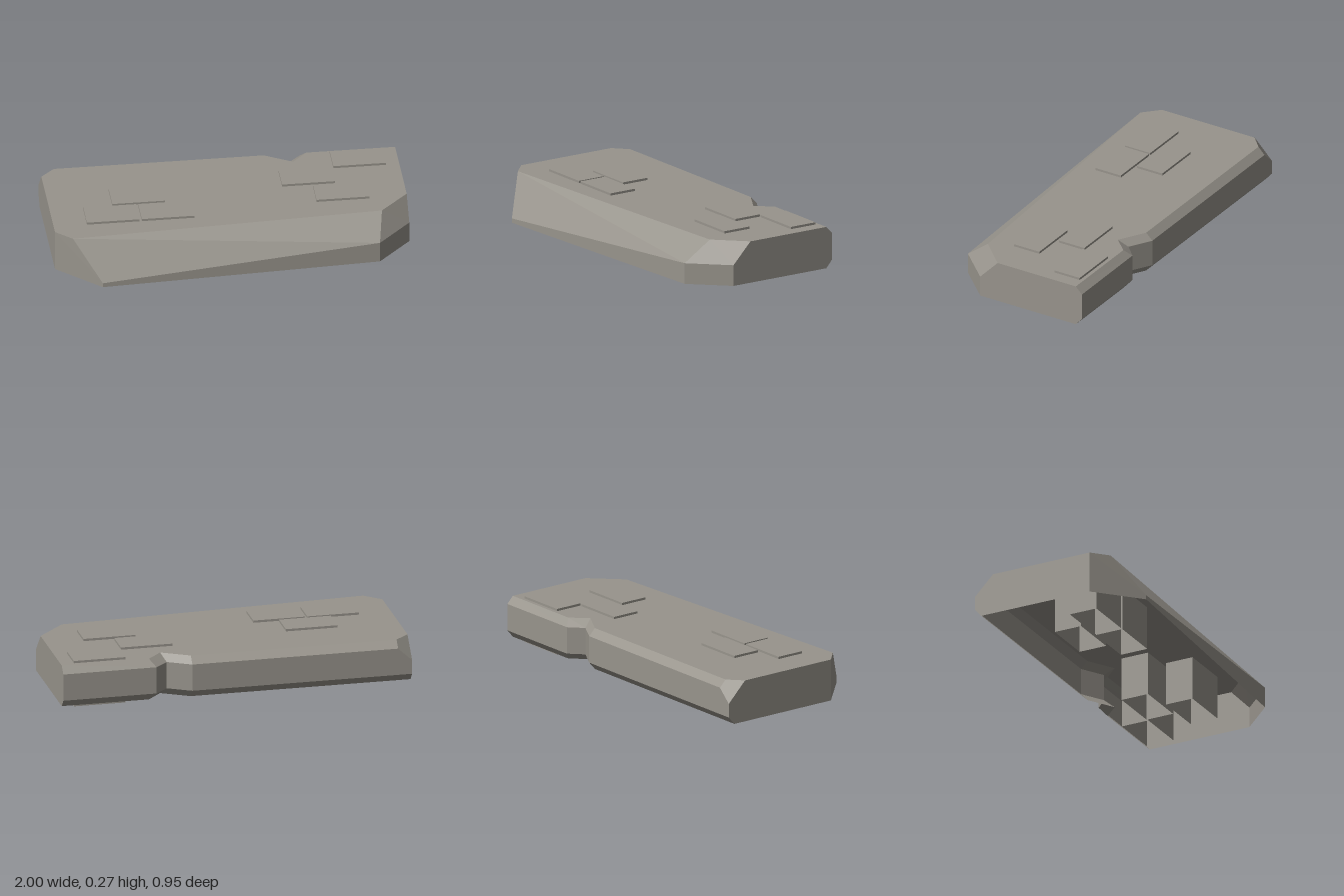
import * as THREE from 'three';

const TOP = 0.255, BOTTOM = 0.015;

// Bevelled edge column: inset top and bottom, full depth between
const bevel = (x, z, mx, mz) => [[x, TOP, z], [mx, 0.215, mz], [mx, 0.06, mz], [x, BOTTOM, z]];
// Sloped column: top point, then a vertical skirt from height y down
const slope = (x, z, mx, y, mz) => [[x, TOP, z], [mx, y, mz], [mx, y, mz], [mx, BOTTOM, mz]];

export function createModel() {
  const group = new THREE.Group();
  const stone = new THREE.MeshStandardMaterial({ color: 0x98948c, side: THREE.DoubleSide, flatShading: true });
  stone.name = 'warm grey stone';

  // Columns around the slab, from the back left corner past the notch
  const columns = [
    bevel(1, -0.44, 1, -0.48),
    bevel(0.5, -0.44, 0.465, -0.478),
    bevel(0.415, -0.35, 0.39, -0.405),
    bevel(0.26, -0.44, 0.26, -0.48),
    bevel(-0.92, -0.44, -0.92, -0.48),
    [[-1, TOP, -0.365], [-1, 0.14, -0.48], [-1, 0.06, -0.48], [-1, BOTTOM, -0.44]],
    slope(-1, 0.245, -1, 0.1, 0.245),
    slope(-0.91, 0.33, -0.76, 0.04, 0.475),
    slope(0.84, 0.24, 0.81, 0.135, 0.39),
    slope(1, 0.075, 1, 0.135, 0.19),
  ];

  // Side walls, open underneath
  const positions = [];
  columns.forEach((col, i) => {
    const next = columns[(i + 1) % columns.length];
    for (let k = 0; k < 3; k++) {
      const a = col[k], b = next[k], c = next[k + 1], d = col[k + 1];
      for (const tri of [[a, d, c], [a, c, b]]) {
        const [p, q, r] = tri.map((v) => new THREE.Vector3(...v));
        // Skip collapsed triangles
        if (q.clone().sub(p).cross(r.clone().sub(p)).length() > 1e-7) positions.push(...tri.flat());
      }
    }
  });
  const wallGeometry = new THREE.BufferGeometry();
  wallGeometry.setAttribute('position', new THREE.Float32BufferAttribute(positions, 3));
  wallGeometry.computeVertexNormals();
  const walls = new THREE.Mesh(wallGeometry, stone);
  walls.name = 'slabWalls';
  group.add(walls);

  // Flat top
  const outline = new THREE.Shape(columns.map(([[x, , z]]) => new THREE.Vector2(x, -z)));
  const topGeometry = new THREE.ShapeGeometry(outline).rotateX(-Math.PI / 2).translate(0, TOP, 0);
  const top = new THREE.Mesh(topGeometry, stone);
  top.name = 'slabTop';
  group.add(top);

  // Bricks standing through the slab, open at the bottom
  const height = 0.268;
  const brickGeometry = new THREE.BoxGeometry(0.296, height, 0.167);
  const index = Array.from(brickGeometry.index.array);
  index.splice(18, 6);
  brickGeometry.setIndex(index);
  brickGeometry.clearGroups();
  const bricks = [
    [-0.665, 0.104], [-0.356, 0.104], [-0.499, -0.08],
    [0.468, -0.172], [0.777, -0.335], [0.638, 0.018],
  ];
  bricks.forEach(([x, z], i) => {
    const brick = new THREE.Mesh(brickGeometry, stone);
    brick.name = `brick${i + 1}`;
    brick.position.set(x, height / 2, z);
    group.add(brick);
  });

  return group;
}
